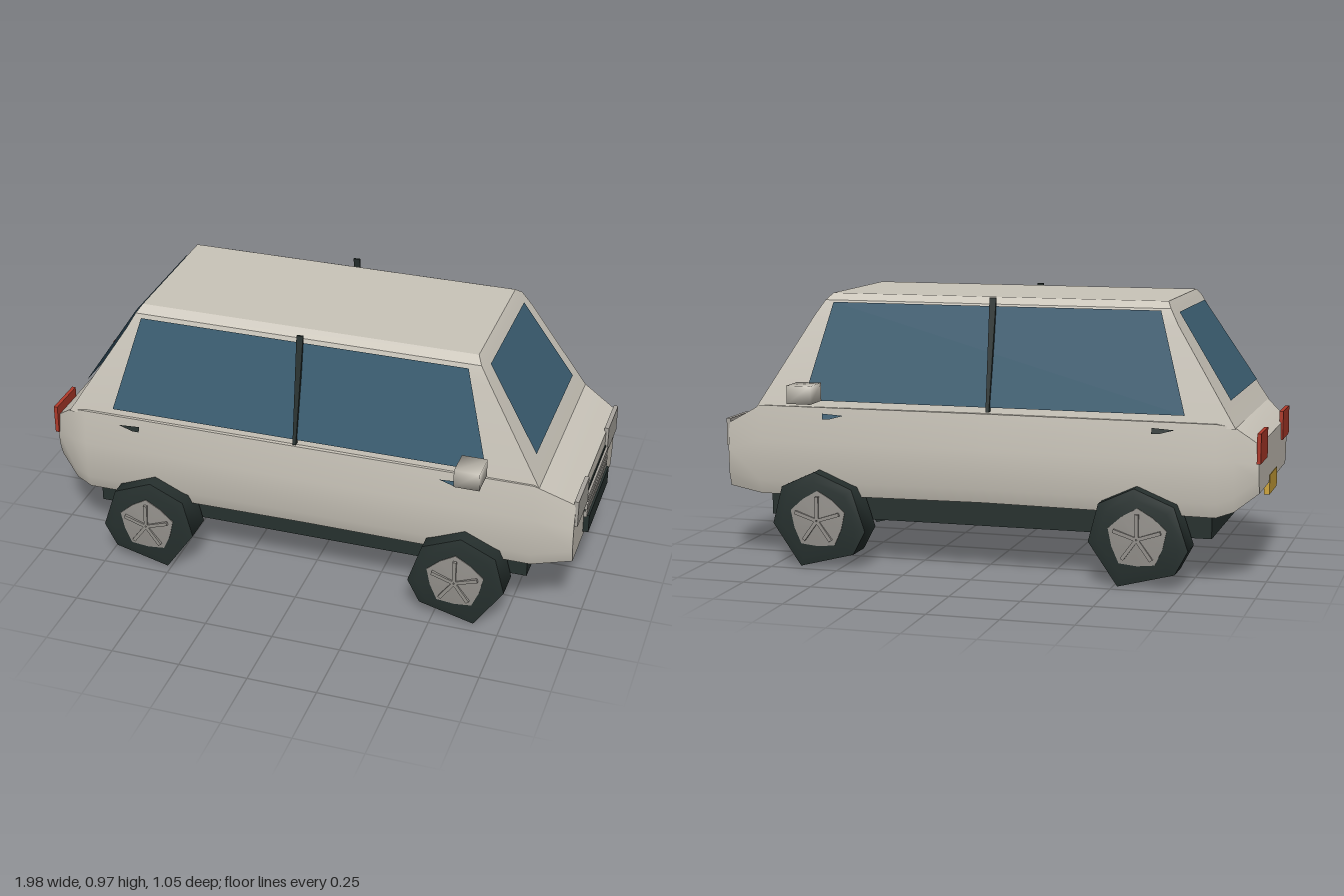
import * as THREE from 'three';
import { toCreasedNormals } from 'three/addons/utils/BufferGeometryUtils.js';

const mat = (name, color, side = THREE.FrontSide) => {
  const m = new THREE.MeshStandardMaterial({ color, side });
  m.name = name;
  return m;
};

// Skin over a list of closed rings (counter-clockwise about the travel axis), with end caps
function loft(rings, crease = 0.6) {
  const pos = [];
  const tri = (...ps) => ps.forEach((p) => pos.push(...p));
  const centre = (r) => [0, 1, 2].map((k) => r.reduce((s, p) => s + p[k], 0) / r.length);
  const n = rings[0].length;
  const first = rings[0], last = rings[rings.length - 1];
  for (let j = 0; j < n; j++) {
    const k = (j + 1) % n;
    for (let i = 0; i < rings.length - 1; i++) {
      const a = rings[i][j], b = rings[i][k], c = rings[i + 1][k], d = rings[i + 1][j];
      tri(a, b, c);
      tri(a, c, d);
    }
    tri(centre(last), last[j], last[k]);
    tri(centre(first), first[k], first[j]);
  }
  const g = new THREE.BufferGeometry();
  g.setAttribute('position', new THREE.Float32BufferAttribute(pos, 3));
  return toCreasedNormals(g, crease);
}

// Single flat four-cornered face
function quad(a, b, c, d) {
  const g = new THREE.BufferGeometry();
  g.setAttribute('position', new THREE.Float32BufferAttribute([a, b, c, a, c, d].flat(), 3));
  g.computeVertexNormals();
  return g;
}

export function createModel() {
  const car = new THREE.Group();
  car.name = 'car';
  const paint = mat('bodyPaint', 0xcac5ba);
  const glass = mat('windowGlass', 0x3c5f73, THREE.DoubleSide);
  const black = mat('blackTrim', 0x27312f, THREE.DoubleSide);
  const metal = mat('hubMetal', 0x94918c);
  const lamp = mat('headlightGrey', 0xaaa69f);
  const red = mat('tailRed', 0xb03a2a);
  const yellow = mat('plateYellow', 0xd0a63c);

  const add = (name, geometry, material, parent = car) => {
    const m = new THREE.Mesh(geometry, material);
    m.name = name;
    parent.add(m);
    return m;
  };
  const box = (name, material, x, y, z, w, h, d, parent) => {
    const m = add(name, new THREE.BoxGeometry(w, h, d), material, parent);
    m.position.set(x, y, z);
    return m;
  };

  // Lower body: cross-sections from tail to nose [x, bottom, top, half width]
  const sections = [
    [-0.98, 0.33, 0.50, 0.34],
    [-0.90, 0.27, 0.565, 0.39],
    [-0.84, 0.25, 0.575, 0.405],
    [0, 0.26, 0.578, 0.41],
    [0.83, 0.25, 0.575, 0.402],
    [0.97, 0.265, 0.50, 0.36],
  ];
  add('lowerBody', loft(sections.map(([x, y0, y1, w]) => {
    const half = [[y1, w - 0.012], [y0 + (y1 - y0) * 0.6, w], [y0 + 0.05, w - 0.004], [y0, w - 0.02]];
    return [
      ...half.map(([y, z]) => [x, y, z]),
      ...half.slice().reverse().map(([y, z]) => [x, y, -z]),
    ];
  })), paint);

  // Cabin: rectangles from waistline to roof [y, rear x, front x, half width]
  const levels = [
    [0.56, -0.905, 0.85, 0.386],
    [0.90, -0.69, 0.642, 0.314],
    [0.955, -0.66, 0.606, 0.295],
    [0.978, -0.645, 0.588, 0.262],
  ];
  add('cabin', loft(levels.map(([y, x0, x1, z]) => [[x0, y, z], [x1, y, z], [x1, y, -z], [x0, y, -z]]), 0.5), paint);

  // Floor pan
  box('underbody', black, -0.005, 0.22, 0, 1.63, 0.11, 0.67);

  // Windscreen and rear window
  add('windscreen', quad([0.812, 0.645, 0.295], [0.812, 0.645, -0.295], [0.626, 0.94, -0.245], [0.626, 0.94, 0.245]), glass);
  add('rearWindow', quad([-0.872, 0.645, -0.295], [-0.872, 0.645, 0.295], [-0.68, 0.94, 0.245], [-0.68, 0.94, -0.245]), glass);

  const tyreOutline = [[0.175, -0.02], [0.14, 0.115], [0.015, 0.173], [-0.125, 0.115],
    [-0.175, -0.035], [-0.13, -0.12], [0.07, -0.172]];
  const ringZ = (s, steps, pts) => {
    const rings = steps.map(([z, k]) => pts.map(([x, y]) => [x * k, y * k, s * z]));
    return s > 0 ? rings : rings.reverse();
  };
  const hubOutline = Array.from({ length: 10 }, (_, i) => {
    const a = Math.PI * (0.5 + i / 5);
    const r = i % 2 ? 0.094 : 0.108;
    return [Math.cos(a) * r, Math.sin(a) * r];
  });

  for (const s of [1, -1]) {
    const side = s > 0 ? 'right' : 'left';
    // Side glass and centre pillar
    add(side + 'SideWindow', quad([-0.73, 0.60, s * 0.389], [0.66, 0.60, s * 0.389],
      [0.567, 0.95, s * 0.318], [-0.63, 0.95, s * 0.318]), glass);
    const rect = (y, z, w, t) => [[-0.032 - w, y, z + t], [-0.032 + w, y, z + t], [-0.032 + w, y, z - t], [-0.032 - w, y, z - t]];
    add(side + 'Pillar', loft([rect(0.585, s * 0.39, 0.006, 0.011), rect(0.98, s * 0.324, 0.012, 0.004)]), black);

    // Mirror: box with rounded shading
    const mirror = add(side + 'Mirror', toCreasedNormals(new THREE.BoxGeometry(0.09, 0.065, 0.105), 2), paint);
    mirror.position.set(0.625, 0.637, s * 0.472);
    box(side + 'MirrorStem', paint, 0.625, 0.615, s * 0.405, 0.02, 0.015, 0.05);

    // Door handles
    for (const x of [-0.66, 0.54]) {
      add(side + 'DoorHandle', quad([x - 0.04, 0.552, s * 0.412], [x + 0.015, 0.537, s * 0.416],
        [x + 0.04, 0.537, s * 0.416], [x + 0.04, 0.557, s * 0.412]), x > 0 ? glass : black);
    }

    // Wheels: seven-sided tyre, dished hub and five spokes
    for (const x of [-0.585, 0.582]) {
      const wheel = new THREE.Group();
      wheel.name = side + (x > 0 ? 'FrontWheel' : 'RearWheel');
      wheel.position.set(x, 0.178, 0);
      car.add(wheel);
      add('tyre', loft(ringZ(s, [[0.345, 1], [0.457, 1], [0.465, 0.8]], tyreOutline), 0.95), black, wheel);
      add('hub', loft(ringZ(s, [[0.45, 1], [0.468, 1], [0.474, 0.25]], hubOutline), 0.2), metal, wheel);
      for (let i = 0; i < 5; i++) {
        const a = Math.PI * (0.5 + i * 0.4);
        const spoke = box('spoke', metal, Math.cos(a) * 0.045, Math.sin(a) * 0.045, s * 0.474, 0.085, 0.013, 0.012, wheel);
        spoke.rotation.z = a;
      }
    }

    // Head and tail lights
    box(side + 'Headlight', lamp, 0.972, 0.465, s * 0.262, 0.016, 0.10, 0.175);
    box(side + 'TailLight', red, -0.98, 0.49, s * 0.27, 0.014, 0.105, 0.16);
  }

  // Grille slats with dark gaps, and the plates
  box('grilleBack', black, 0.971, 0.40, 0, 0.006, 0.09, 0.35);
  [0.425, 0.392, 0.362].forEach((y) => box('grilleSlat', lamp, 0.976, y, 0, 0.012, 0.022, 0.36));
  box('frontPlate', black, 0.98, 0.321, 0, 0.02, 0.07, 0.35);
  box('rearPlate', yellow, -0.972, 0.32, 0, 0.02, 0.07, 0.18);
  return car;
}
